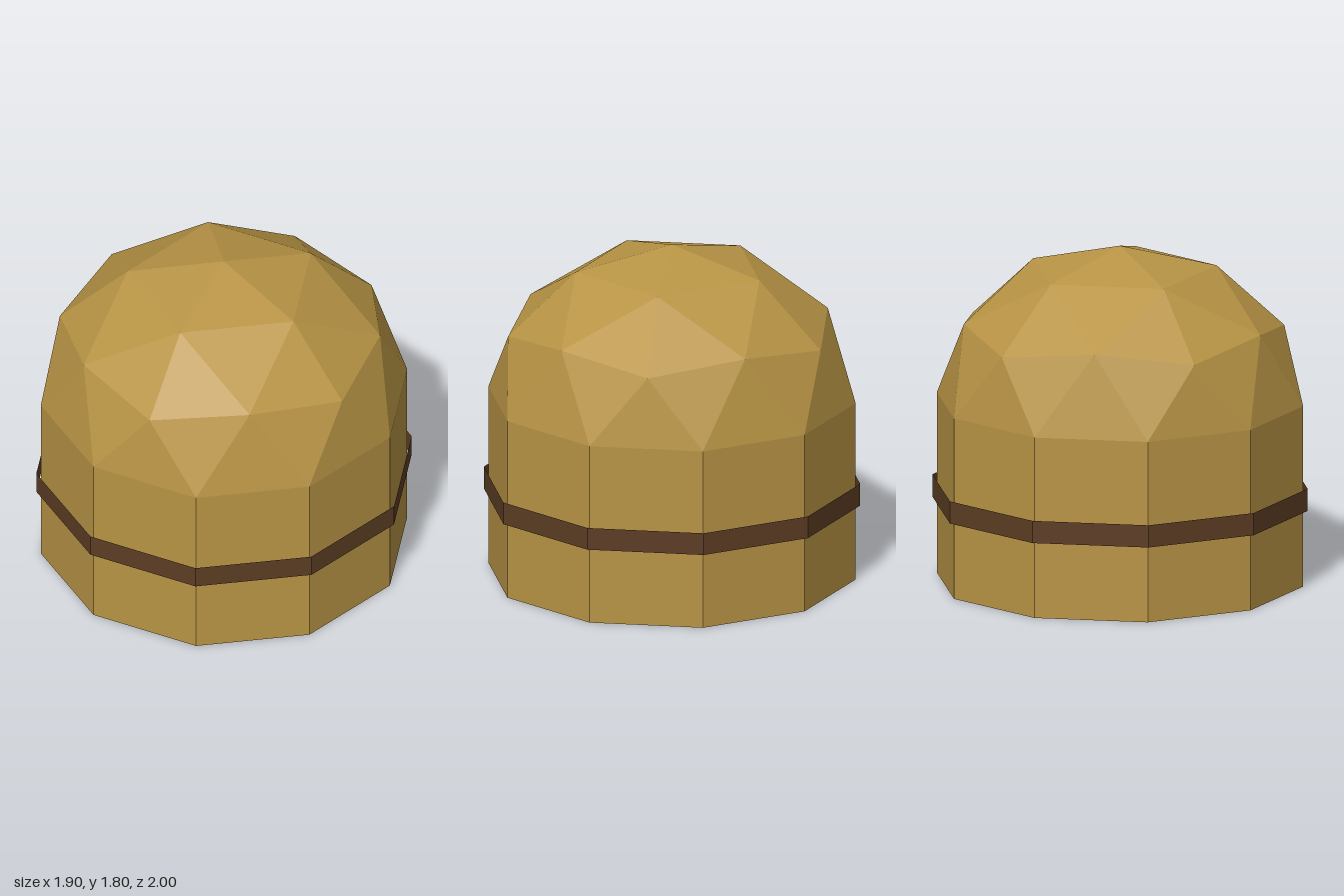
import * as THREE from 'three';

const SIDES = 10;
const RADIUS = 0.976;
const WALL_HEIGHT = 0.975;
const DOME_HEIGHT = 0.83;

function makeMaterial(name, color) {
  const material = new THREE.MeshStandardMaterial({ color, flatShading: true, side: THREE.DoubleSide });
  material.name = name;
  return material;
}

// Open ten-sided ring standing on the given height
function ring(name, radius, bottom, height, material) {
  const geometry = new THREE.CylinderGeometry(radius, radius, height, SIDES, 1, true);
  geometry.translate(0, bottom + height / 2, 0);
  const mesh = new THREE.Mesh(geometry, material);
  mesh.name = name;
  return mesh;
}

export function createModel() {
  const group = new THREE.Group();
  group.name = 'domedHut';
  const straw = makeMaterial('straw gold', 0xb89445);
  const brown = makeMaterial('dark brown', 0x5c3d24);

  // Straight wall, open at the bottom
  group.add(ring('wall', RADIUS, 0, WALL_HEIGHT, straw));

  // Faceted ball turned so one corner is the peak; its lower half sits inside the wall
  const ball = new THREE.IcosahedronGeometry(1, 1);
  ball.rotateZ(-Math.atan(2 / (1 + Math.sqrt(5))));
  ball.scale(RADIUS, DOME_HEIGHT, RADIUS);
  ball.translate(0, WALL_HEIGHT, 0);
  ball.computeVertexNormals();
  const dome = new THREE.Mesh(ball, straw);
  dome.name = 'dome';
  group.add(dome);

  // Thin band standing slightly off the wall
  group.add(ring('band', 1, 0.41, 0.12, brown));

  return group;
}
